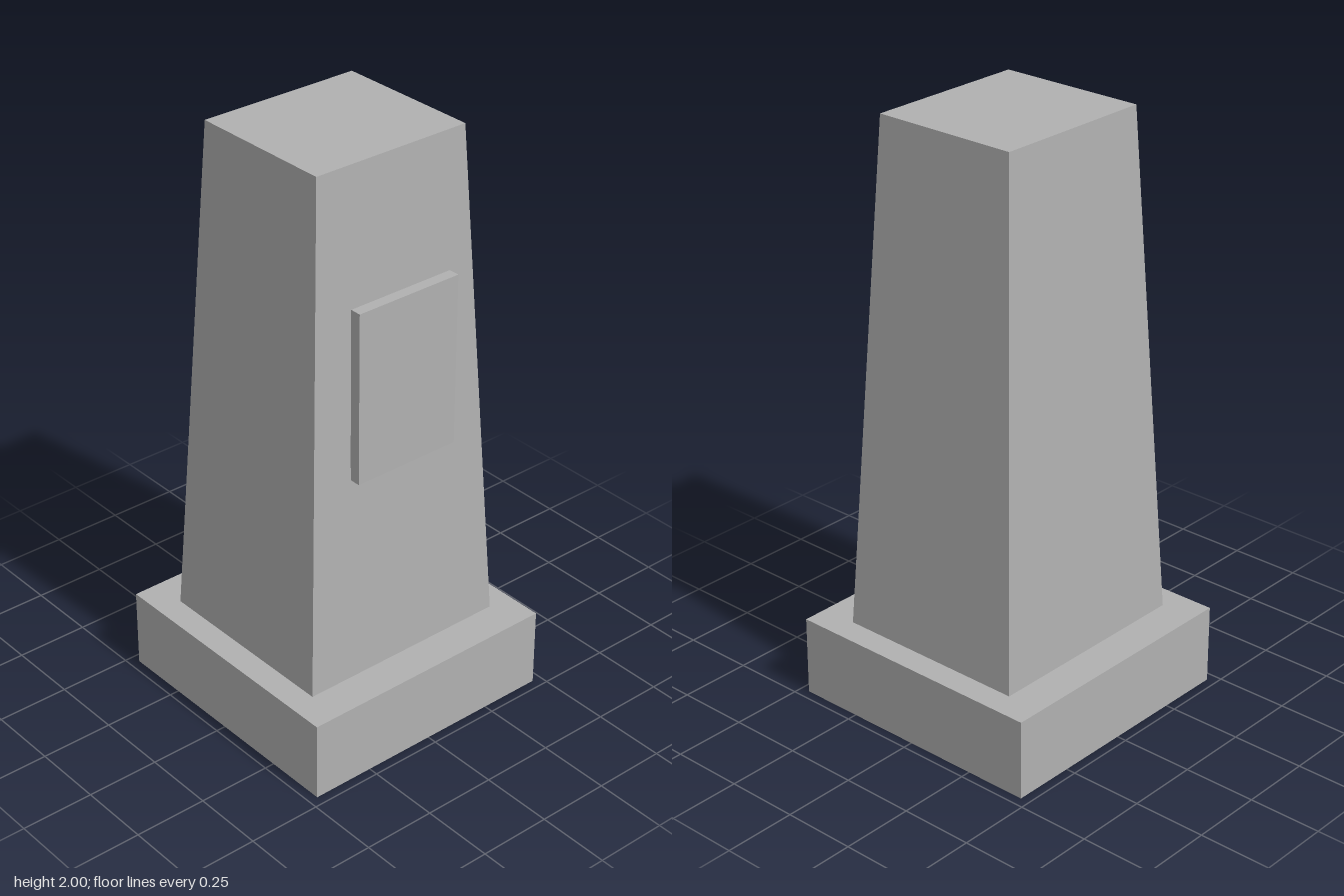
import * as THREE from 'three';

const stone = new THREE.MeshStandardMaterial({ color: 0xb0b0b0 });
stone.name = 'stone';

// Box standing on height y, with its top scaled by sx and sz
function block(name, w, h, d, y, z = 0, sx = 1, sz = 1) {
  const geometry = new THREE.BoxGeometry(w, h, d);
  const p = geometry.attributes.position;
  for (let i = 0; i < p.count; i++) {
    if (p.getY(i) > 0) {
      p.setX(i, p.getX(i) * sx);
      p.setZ(i, p.getZ(i) * sz);
    }
  }
  geometry.computeVertexNormals();
  const mesh = new THREE.Mesh(geometry, stone);
  mesh.name = name;
  mesh.position.set(0, y + h / 2, z);
  return mesh;
}

export function createModel() {
  const group = new THREE.Group();
  group.name = 'stonePillar';
  group.add(
    // Square plinth
    block('base', 0.934, 0.274, 0.934, 0),
    // Tapered shaft
    block('shaft', 0.758, 1.726, 0.68, 0.274, 0, 0.57 / 0.758, 0.512 / 0.68),
    // Upright plaque on the front, standing off the sloping face
    block('plaque', 0.388, 0.584, 0.038, 0.98, 0.322)
  );
  return group;
}
